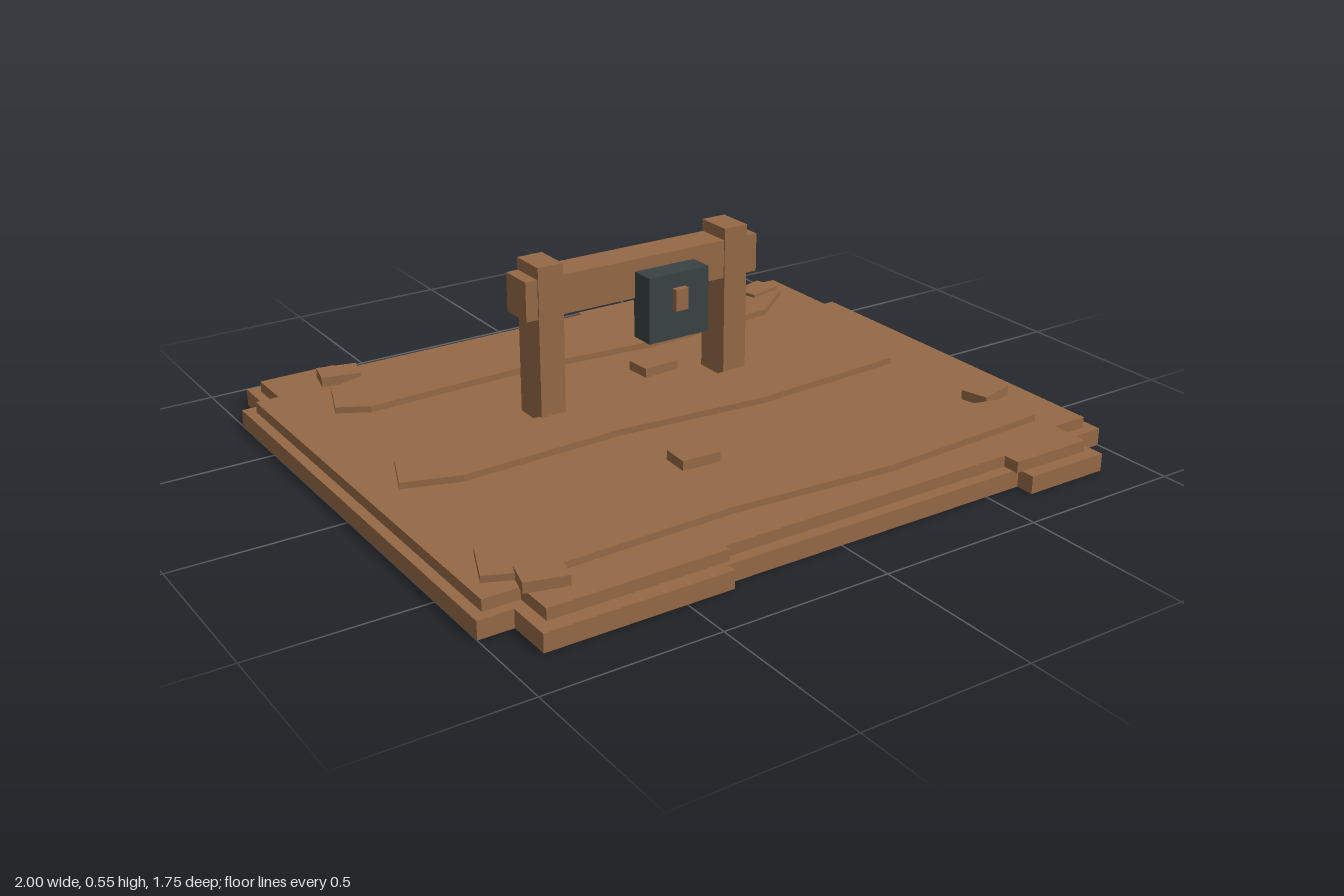
import * as THREE from 'three';

const wood = new THREE.MeshStandardMaterial({ color: 0x966946 });
wood.name = 'brown wood';
const iron = new THREE.MeshStandardMaterial({ color: 0x394244 });
iron.name = 'dark iron';

// Flat slab from a plan outline of [x, z] points
function slab(name, outline, y, height) {
  const shape = new THREE.Shape(outline.map(([x, z]) => new THREE.Vector2(x, -z)));
  const geo = new THREE.ExtrudeGeometry(shape, { depth: height, bevelEnabled: false });
  geo.rotateX(-Math.PI / 2);
  const mesh = new THREE.Mesh(geo, wood);
  mesh.name = name;
  mesh.position.y = y;
  return mesh;
}

// Box given by its limits on each axis
function block(name, [x0, x1], [y0, y1], [z0, z1], material = wood) {
  const mesh = new THREE.Mesh(new THREE.BoxGeometry(x1 - x0, y1 - y0, z1 - z0), material);
  mesh.name = name;
  mesh.position.set((x0 + x1) / 2, (y0 + y1) / 2, (z0 + z1) / 2);
  return mesh;
}

export function createModel() {
  const model = new THREE.Group();
  model.name = 'woodenHatch';

  // Two stepped base layers with notched corners
  model.add(slab('lowerBase', [
    [-1, -0.74], [-0.93, -0.74], [-0.93, -0.88], [-0.69, -0.88], [-0.69, -0.83],
    [0.21, -0.83], [0.21, -0.85], [0.85, -0.85], [0.85, -0.75], [0.96, -0.75],
    [0.96, -0.45], [1, -0.45], [1, 0.75], [0.88, 0.75], [0.88, 0.875], [0.615, 0.875],
    [0.615, 0.82], [-0.36, 0.82], [-0.36, 0.85], [-0.9, 0.85], [-0.9, 0.715], [-1, 0.715],
  ], 0, 0.052));
  model.add(slab('upperBase', [
    [-0.97, -0.7], [-0.9, -0.7], [-0.9, -0.84], [-0.665, -0.84], [-0.665, -0.795],
    [0.2, -0.795], [0.2, -0.815], [0.82, -0.815], [0.82, -0.715], [0.93, -0.715],
    [0.93, -0.43], [0.965, -0.43], [0.965, 0.72], [0.85, 0.72], [0.85, 0.835], [0.595, 0.835],
    [0.595, 0.785], [-0.345, 0.785], [-0.345, 0.805], [-0.865, 0.805], [-0.865, 0.685], [-0.97, 0.685],
  ], 0.052, 0.033));

  // Rough planks lying across the base
  const planks = [
    [[-0.81, -0.495], [-0.76, -0.635], [-0.63, -0.675], [0.07, -0.637], [0.57, -0.66],
      [0.86, -0.58], [0.7, -0.455], [0.26, -0.42], [-0.21, -0.46], [-0.72, -0.445]],
    [[-0.875, 0.055], [-0.82, -0.085], [-0.625, -0.122], [0.18, -0.09], [0.58, -0.107],
      [0.86, -0.03], [0.77, 0.1], [0.26, 0.13], [-0.21, 0.09], [-0.71, 0.108]],
    [[-0.935, 0.615], [-0.88, 0.48], [-0.63, 0.44], [0.07, 0.477], [0.57, 0.455],
      [0.86, 0.535], [0.83, 0.66], [0.27, 0.69], [-0.22, 0.655], [-0.81, 0.67]],
  ];
  planks.forEach((outline, i) => model.add(slab(`plank${i + 1}`, outline, 0.084, 0.02)));

  // Small wooden pegs: x, z, turn
  const pegs = [
    [-0.695, -0.725, -0.22], [0.785, -0.62, 0.26], [0.137, -0.267, 0.06],
    [-0.13, 0.337, -0.05], [0.83, 0.453, 0.26], [-0.808, 0.69, -0.26],
  ];
  pegs.forEach(([x, z, turn], i) => {
    const peg = block(`peg${i + 1}`, [-0.06, 0.06], [0.084, 0.114], [-0.042, 0.042]);
    peg.position.x = x;
    peg.position.z = z;
    peg.rotation.y = turn;
    model.add(peg);
  });

  // Handle frame: two posts and a cross beam
  const frame = new THREE.Group();
  frame.name = 'handleFrame';
  frame.add(block('rightPost', [-0.352, -0.272], [0.08, 0.553], [-0.217, -0.101]));
  frame.add(block('leftPost', [0.28, 0.36], [0.08, 0.553], [-0.217, -0.101]));
  frame.add(block('crossBeam', [-0.39, 0.398], [0.4, 0.517], [-0.213, -0.105]));
  model.add(frame);

  // Lock hanging on the front of the beam
  model.add(block('lock', [-0.032, 0.172], [0.28, 0.48], [-0.11, -0.03], iron));
  model.add(block('lockPlug', [0.048, 0.09], [0.37, 0.436], [-0.04, -0.012]));

  return model;
}
